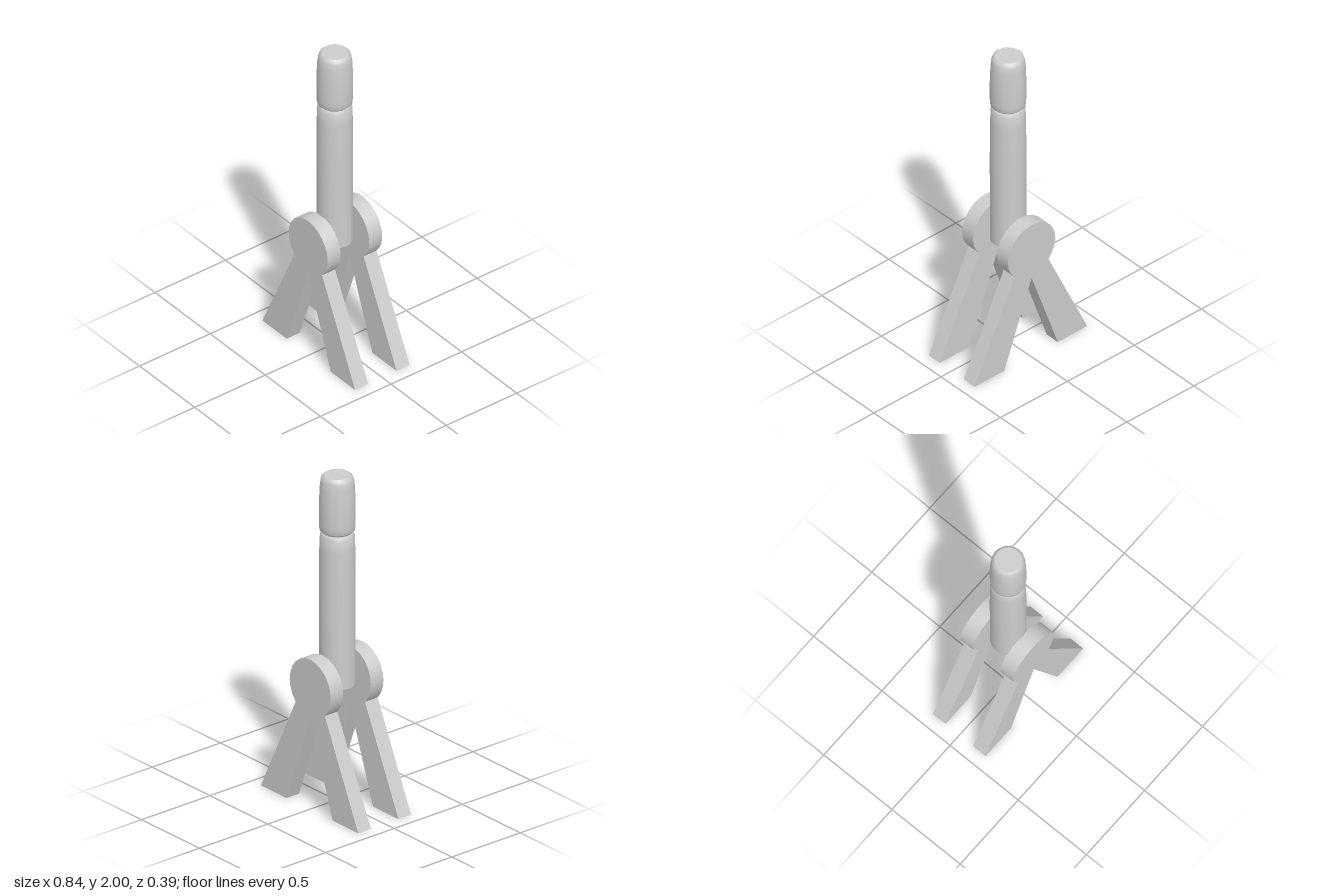
import * as THREE from 'three';
import { toCreasedNormals } from 'three/addons/utils/BufferGeometryUtils.js';

export function createModel() {
  const group = new THREE.Group();
  const grey = new THREE.MeshStandardMaterial({ color: 0xcccccc });
  grey.name = 'light grey';

  const add = (name, geometry, crease, x, y, z) => {
    const mesh = new THREE.Mesh(toCreasedNormals(geometry, crease), grey);
    mesh.name = name;
    mesh.position.set(x, y, z);
    group.add(mesh);
  };

  // Forked side plate: round head on two splayed legs
  const cx = -0.005, cy = 0.743, r = 0.177;
  const start = Math.atan2(0.605 - cy, 0.135 - cx);
  const end = Math.PI - start;
  const outline = [[-0.42, 0], [-0.2, 0], [cx, 0.55], [0.2, 0], [0.42, 0]]
    .map(([x, y]) => new THREE.Vector2(x, y));
  const steps = 18;
  for (let i = 0; i <= steps; i++) {
    const a = start + (end - start) * i / steps;
    outline.push(new THREE.Vector2(cx + r * Math.cos(a), cy + r * Math.sin(a)));
  }
  const plate = new THREE.ExtrudeGeometry(new THREE.Shape(outline), { depth: 0.092, bevelEnabled: false });
  add('frontFork', plate, 0.45, 0, 0, 0.1);
  add('backFork', plate, 0.45, 0, 0, -0.194);

  // Turned lever: shaft, narrow neck and rounded grip
  const lathe = (points) => new THREE.LatheGeometry(points.map(([x, y]) => new THREE.Vector2(x, y)), 20);
  add('leverShaft', lathe([
    [0, 0.72], [0.102, 0.72], [0.103, 1.3], [0.101, 1.55], [0.098, 1.63], [0.09, 1.645], [0.082, 1.648], [0, 1.648],
  ]), 0.7, -0.005, 0, 0.004);
  add('neck', new THREE.CylinderGeometry(0.082, 0.082, 0.03, 20), 0.7, -0.005, 1.65, 0.004);
  add('leverGrip', lathe([
    [0, 1.655], [0.09, 1.655], [0.1, 1.665], [0.103, 1.7], [0.103, 1.82], [0.099, 1.93], [0.094, 1.97],
    [0.087, 1.99], [0.076, 2], [0, 2],
  ]), 0.7, -0.005, 0, 0.004);

  return group;
}
